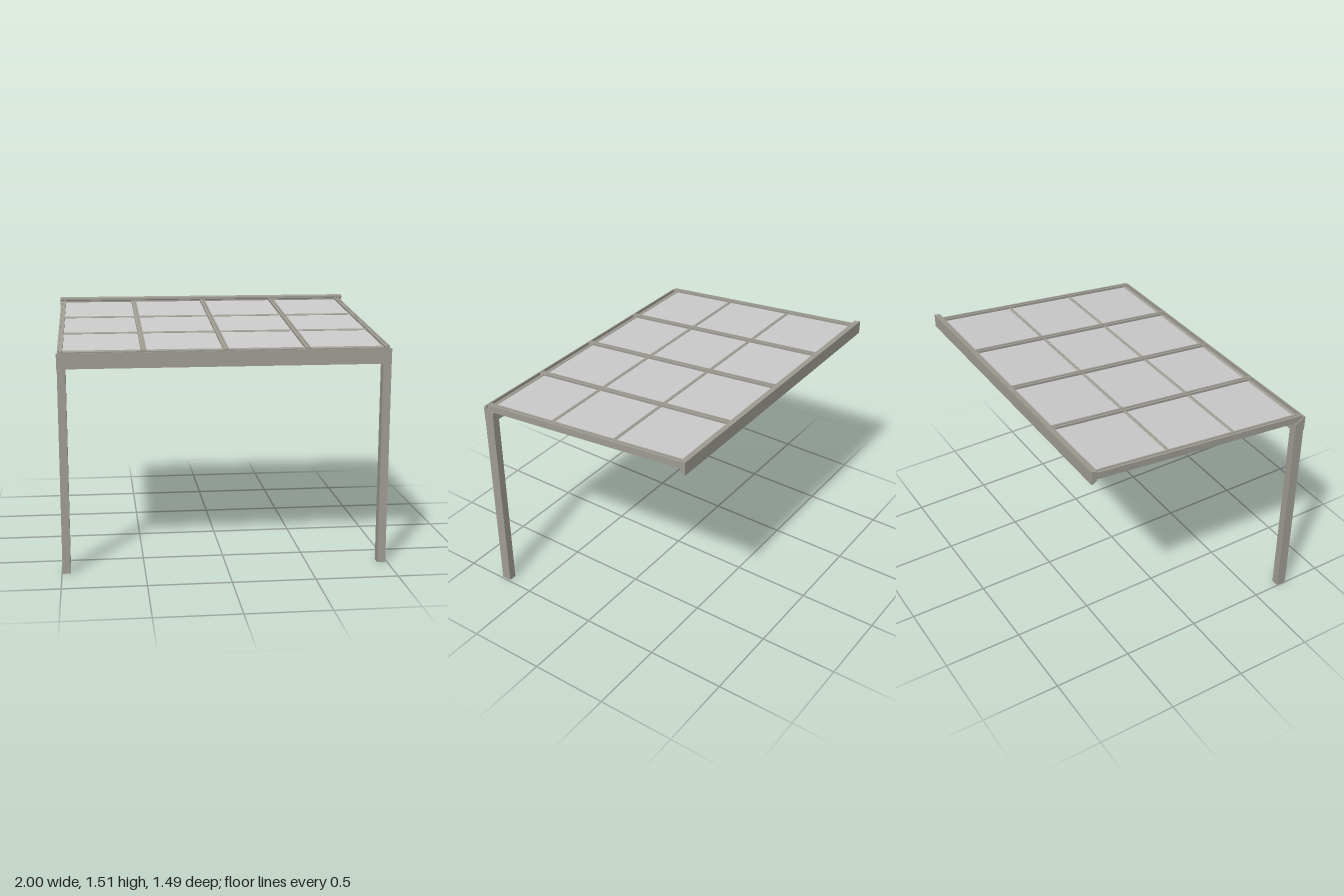
import * as THREE from 'three';

const frameMat = new THREE.MeshStandardMaterial({ color: 0xa09d94 });
const panelMat = new THREE.MeshStandardMaterial({ color: 0xcccccc });

function box(name, w, h, d, x, y, z, mat = frameMat) {
  const mesh = new THREE.Mesh(new THREE.BoxGeometry(w, h, d), mat);
  mesh.name = name;
  mesh.position.set(x, y, z);
  return mesh;
}

// Extrudes a closed outline, given as [u, v] points, along +z
function extrude(points, length) {
  const shape = new THREE.Shape(points.map(([u, v]) => new THREE.Vector2(u, v)));
  return new THREE.ExtrudeGeometry(shape, { depth: length, bevelEnabled: false });
}

// Bar running along x from x0 to x1 with a [z, y] outline
function barX(name, points, x0, x1) {
  const geo = extrude(points.map(([z, y]) => [-z, y]), x1 - x0);
  geo.rotateY(Math.PI / 2);
  const mesh = new THREE.Mesh(geo, frameMat);
  mesh.name = name;
  mesh.position.x = x0;
  return mesh;
}

// Bar running along z, centred on z = 0, with an [x, y] outline
function barZ(name, points, length, x) {
  const mesh = new THREE.Mesh(extrude(points, length).translate(0, 0, -length / 2), frameMat);
  mesh.name = name;
  mesh.position.x = x;
  return mesh;
}

export function createModel() {
  const model = new THREE.Group();
  model.name = 'patioCanopy';

  // Front posts
  for (const [name, x] of [['rightPost', -0.972], ['leftPost', 0.963]]) {
    model.add(box(name, 0.05, 1.25, 0.064, x, 0.625, 0.711));
  }

  // Front gutter beam: an open channel with a high front lip
  const gutter = [
    [0.745, 1.245], [0.745, 1.337], [0.738, 1.337], [0.738, 1.262],
    [0.684, 1.262], [0.684, 1.305], [0.677, 1.305], [0.677, 1.245],
  ];
  model.add(barX('gutterBeam', gutter, -0.997, 0.985));

  // Gutter end caps
  const cap = [
    [0.745, 1.245], [0.745, 1.337], [0.725, 1.337], [0.72, 1.325], [0.677, 1.305], [0.677, 1.245],
  ];
  model.add(barX('rightGutterCap', cap, -1, -0.994));
  model.add(barX('leftGutterCap', cap, 0.982, 0.988));

  // Rear wall rail
  const rail = [
    [-0.745, 1.43], [-0.745, 1.515], [-0.707, 1.508], [-0.707, 1.494],
    [-0.72, 1.49], [-0.72, 1.455], [-0.707, 1.448], [-0.735, 1.43],
  ];
  model.add(barX('wallRail', rail, -1, 1));

  // Sloping roof
  const roof = new THREE.Group();
  roof.name = 'roof';
  roof.position.y = 1.4;
  roof.rotation.x = Math.atan(0.1);
  model.add(roof);

  // Rafters with a shallow groove along the top
  const rafterXs = [-0.978, -0.49, -0.005, 0.485, 0.964];
  const w = 0.016;
  const rafter = [
    [-w, -0.022], [w, -0.022], [w, 0.022], [0.005, 0.022],
    [0.005, 0.017], [-0.005, 0.017], [-0.005, 0.022], [-w, 0.022],
  ];
  rafterXs.forEach((x) => roof.add(barZ('rafter', rafter, 1.446, x)));

  // Each bay holds three panels divided by cross bars
  const barZs = [-0.22, 0.24, 0.7];
  for (let i = 0; i < 4; i++) {
    const x0 = rafterXs[i] + w - 0.002;
    const x1 = rafterXs[i + 1] - w + 0.002;
    let back = -0.722;
    for (const z of barZs) {
      const crossBar = [
        [z - 0.011, -0.018], [z - 0.011, 0.01], [z - 0.005, 0.016],
        [z + 0.005, 0.016], [z + 0.011, 0.01], [z + 0.011, -0.018],
      ].reverse();
      roof.add(barX('crossBar', crossBar, x0, x1));
      roof.add(box('roofPanel', x1 - x0, 0.008, z - back, (x0 + x1) / 2, 0.004, (z + back) / 2, panelMat));
      back = z;
    }
  }

  return model;
}
